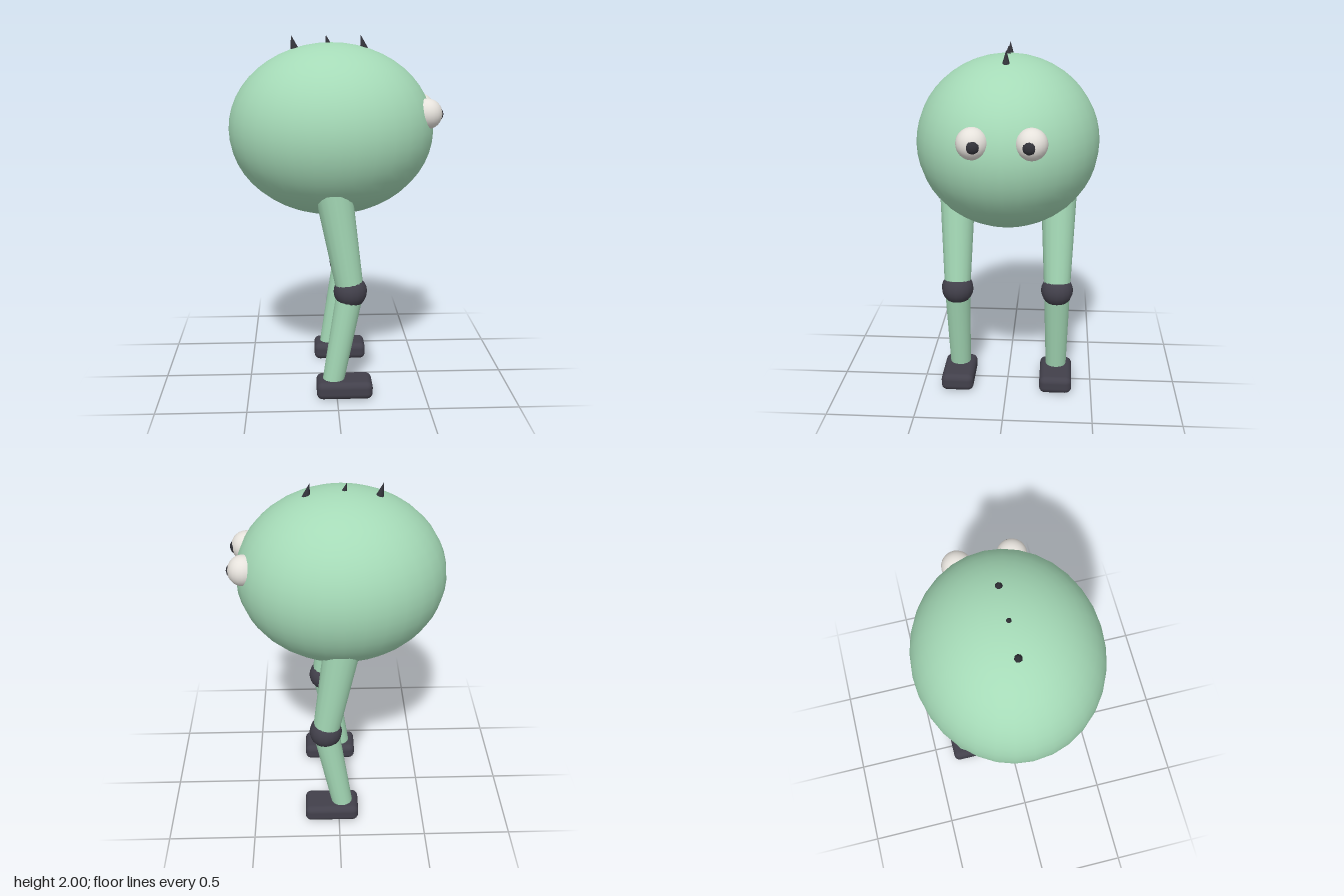
import * as THREE from 'three';
import { RoundedBoxGeometry } from 'three/addons/geometries/RoundedBoxGeometry.js';

const material = (name, color) => {
  const m = new THREE.MeshStandardMaterial({ color });
  m.name = name;
  return m;
};

export function createModel() {
  const skin = material('mint green', 0xa5dab7);
  const dark = material('dark slate', 0x42404b);
  const black = material('charcoal', 0x33333a);
  const white = material('eye white', 0xe6e2dc);

  const model = new THREE.Group();
  model.name = 'walker';

  const add = (parent, name, geometry, mat, x, y, z) => {
    const mesh = new THREE.Mesh(geometry, mat);
    mesh.name = name;
    mesh.position.set(x, y, z);
    parent.add(mesh);
    return mesh;
  };

  // Tapered round limb between two points
  const limb = (parent, name, mat, from, to, rFrom, rTo, sides) => {
    const dir = to.clone().sub(from);
    const mid = from.clone().add(to).multiplyScalar(0.5);
    const geometry = new THREE.CylinderGeometry(rTo, rFrom, dir.length(), sides);
    const mesh = add(parent, name, geometry, mat, mid.x, mid.y, mid.z);
    mesh.quaternion.setFromUnitVectors(new THREE.Vector3(0, 1, 0), dir.normalize());
    return mesh;
  };

  // Egg-shaped body, looking towards +x
  const body = add(model, 'body', new THREE.SphereGeometry(1, 32, 24), skin, -0.02, 1.48, 0);
  body.scale.set(0.575, 0.48, 0.51);

  // Spikes along the back, leaning backwards
  const spikes = [
    [-0.216, 1.905, -0.24, 0.028],
    [-0.028, 1.92, -0.048, 0.026],
    [0.168, 1.905, 0.144, 0.028],
  ];
  for (const [x, y, tipX, r] of spikes) {
    limb(model, 'spike', black, new THREE.Vector3(x, y, 0), new THREE.Vector3(tipX, 2, 0), r, 0, 8);
  }

  for (const side of [-1, 1]) {
    // Eye and pupil
    add(model, 'eye', new THREE.SphereGeometry(0.084, 20, 16), white, 0.5, 1.58, side * 0.15);
    add(model, 'pupil', new THREE.SphereGeometry(0.045, 14, 10), black, 0.546, 1.577, side * 0.144);

    // Leg with knee joint and foot
    const leg = new THREE.Group();
    leg.name = side > 0 ? 'frontSideLeg' : 'rearSideLeg';
    leg.position.z = side * 0.29;
    model.add(leg);
    const hip = new THREE.Vector3(-0.03, 1.25, 0);
    const knee = new THREE.Vector3(0.075, 0.615, 0);
    const ankle = new THREE.Vector3(-0.024, 0.06, 0);
    limb(leg, 'thigh', skin, knee, hip, 0.075, 0.105, 16);
    limb(leg, 'shin', skin, ankle, knee, 0.06, 0.075, 16);
    add(leg, 'knee', new THREE.SphereGeometry(0.093, 16, 12), dark, knee.x, knee.y, 0);
    add(leg, 'foot', new RoundedBoxGeometry(0.315, 0.1, 0.19, 4, 0.035), dark, 0.043, 0.05, 0);
  }

  return model;
}
